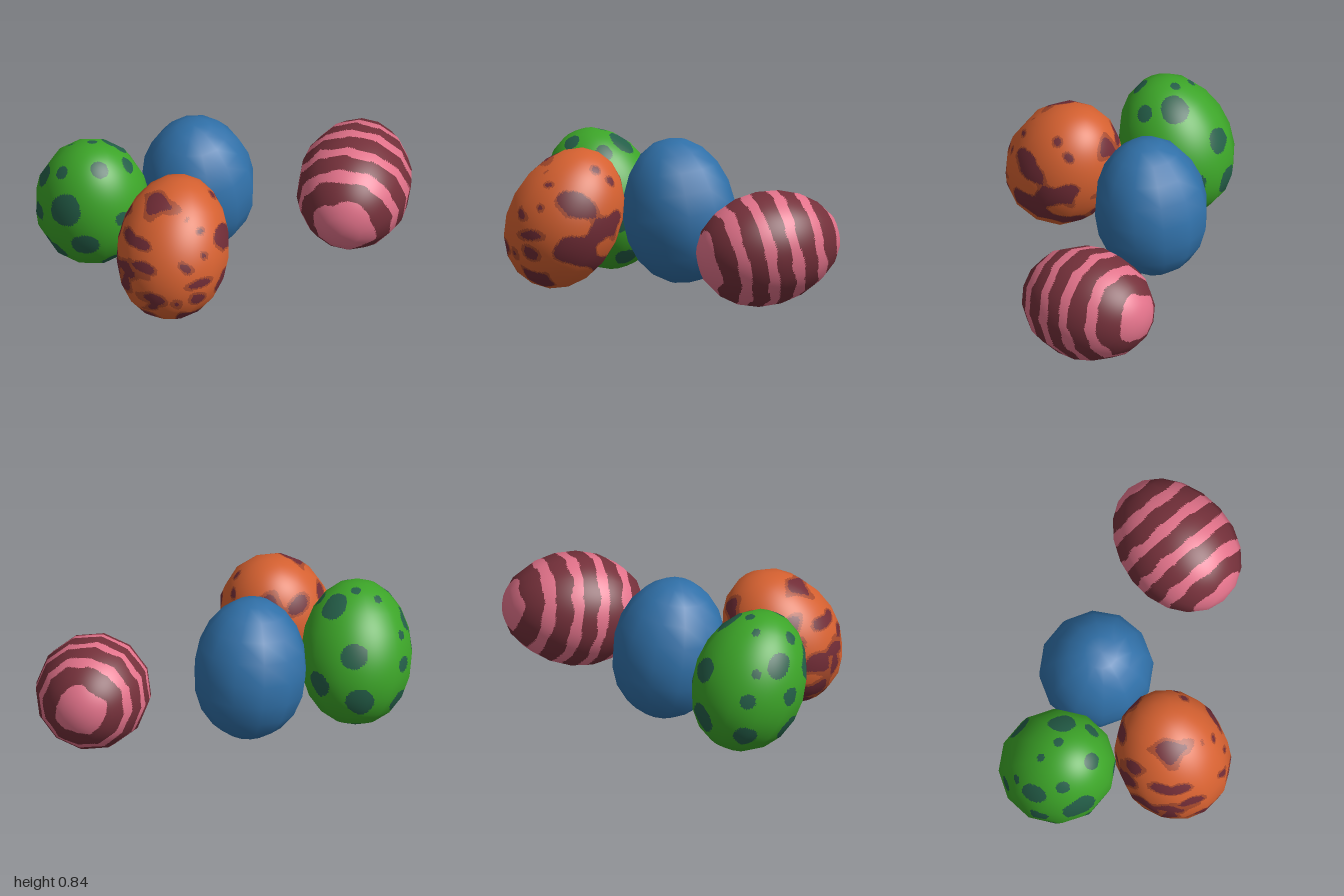
import * as THREE from 'three';

const SIDES = 12, RINGS = 10, RADIUS = 0.325, HALF = 0.417;
const paint = (name, color) => Object.assign(new THREE.MeshStandardMaterial({ color }), { name });
const V = (x, y, z) => new THREE.Vector3(x, y, z);

// Faceted egg with smooth normals; each facet is cut into cells x cells pieces,
// and rule(point, heightAlongAxis) picks the material of every piece.
function makeEgg(name, center, axis, materials, cells = 1, rule = () => 0) {
  const turn = new THREE.Quaternion().setFromUnitVectors(V(0, 1, 0), axis.normalize());
  const corner = (i, j) => {
    const th = (i / SIDES) * Math.PI * 2, ph = (j / RINGS) * Math.PI;
    const t = Math.cos(ph), r = RADIUS * Math.sin(ph) * (1 - 0.05 * t);
    return V(r * Math.cos(th), HALF * t, -r * Math.sin(th)).applyQuaternion(turn);
  };
  const back = turn.clone().invert();
  const normalAt = (p) => {
    const q = p.clone().applyQuaternion(back);
    q.set(q.x / RADIUS ** 2, q.y / HALF ** 2 + 0.3 * (1 - (q.y / HALF) ** 2), q.z / RADIUS ** 2);
    return q.normalize().applyQuaternion(turn);
  };
  const lists = materials.map(() => []);
  const addTriangle = (a, b, c) => {
    const mid = a.clone().add(b).add(c).divideScalar(3);
    lists[rule(mid, mid.dot(axis) / HALF)].push(a, b, c);
  };
  for (let j = 0; j < RINGS; j++) for (let i = 0; i < SIDES; i++) {
    const a = corner(i, j), b = corner(i + 1, j), c = corner(i + 1, j + 1), d = corner(i, j + 1);
    const at = (u, v) => a.clone().lerp(b, u / cells).lerp(d.clone().lerp(c, u / cells), v / cells);
    for (let v = 0; v < cells; v++) for (let u = 0; u < cells; u++) {
      const p = at(u, v), q = at(u + 1, v), r = at(u + 1, v + 1), s = at(u, v + 1);
      if (j < RINGS - 1 || v < cells - 1) addTriangle(p, s, r);
      if (j > 0 || v > 0) addTriangle(p, r, q);
    }
  }
  const geometry = new THREE.BufferGeometry();
  const points = lists.flat(), normals = points.map(normalAt);
  geometry.setAttribute('position', new THREE.Float32BufferAttribute(points.flatMap((p) => p.toArray()), 3));
  geometry.setAttribute('normal', new THREE.Float32BufferAttribute(normals.flatMap((p) => p.toArray()), 3));
  let start = 0;
  lists.forEach((list, k) => {
    geometry.addGroup(start, list.length, k);
    start += list.length;
  });
  const mesh = new THREE.Mesh(geometry, materials);
  mesh.name = name;
  mesh.position.copy(center);
  return mesh;
}

// Spots: direction from the egg's centre, then radius
const spots = [
  [-0.17, 0.195, 0.23, 0.075], [0.09, 0.105, 0.3, 0.1], [-0.14, -0.005, 0.29, 0.058],
  [0.19, -0.125, 0.24, 0.09], [-0.06, -0.25, 0.25, 0.09], [0, 0.285, 0.23, 0.038],
  [0.17, 0.32, 0.11, 0.045], [-0.28, -0.215, 0.05, 0.065], [-0.27, 0.175, 0.12, 0.03],
  [0.2, -0.33, 0.04, 0.05], [-0.03, -0.385, 0.09, 0.04], [-0.205, 0.126, -0.21, 0.085],
  [0.03, 0.3, -0.13, 0.075], [0.19, 0.27, -0.08, 0.05], [0, 0.41, 0, 0.026],
  [-0.11, 0.37, 0.07, 0.022], [-0.03, -0.066, -0.33, 0.075], [-0.236, -0.14, -0.2, 0.08],
  [-0.3, 0.01, 0.08, 0.05], [0.25, -0.1, -0.2, 0.07], [0.1, -0.3, -0.17, 0.06],
  [-0.1, -0.33, -0.12, 0.05], [0.32, 0.05, 0.06, 0.05],
].map(([x, y, z, r]) => ({ dir: V(x, y, z), angle: r / 0.35 }));

const spotRule = (p) => {
  const wobble = 1 + 0.06 * Math.sin(31 * p.x + 17 * p.y) + 0.06 * Math.sin(27 * p.z - 23 * p.y);
  return spots.some((s) => p.angleTo(s.dir) < s.angle * wobble) ? 1 : 0;
};

// Blotches: position from the egg's centre, then horizontal and vertical radius
const blotches = [
  [-0.02, 0.33, 0.13, 0.09, 0.045], [-0.05, 0.15, 0.27, 0.1, 0.028], [-0.165, -0.07, 0.26, 0.11, 0.055],
  [-0.04, -0.03, 0.32, 0.1, 0.035], [0.08, 0.04, 0.31, 0.08, 0.025], [0.13, -0.14, 0.27, 0.065, 0.04],
  [-0.28, 0.05, 0.12, 0.07, 0.07], [0.275, -0.17, 0.1, 0.05, 0.04], [-0.14, -0.25, 0.2, 0.1, 0.06],
  [0.04, -0.3, 0.22, 0.08, 0.035], [-0.23, 0.19, 0.14, 0.05, 0.045], [-0.2, 0.2, -0.22, 0.06, 0.06],
  [-0.25, 0.2, -0.08, 0.06, 0.05], [0.08, 0.29, -0.21, 0.025, 0.025], [0.31, 0.1, 0.05, 0.025, 0.03],
  [0.32, -0.06, 0.1, 0.06, 0.025], [0.24, 0.22, 0.02, 0.03, 0.02], [-0.05, -0.1, 0.32, 0.04, 0.07],
];

const blotchRule = (p) => {
  const warp = 0.2 * Math.sin(41 * p.x + 19 * p.y) + 0.2 * Math.sin(37 * p.y - 29 * p.z + 1);
  let d = 9;
  for (const [x, y, z, w, h] of blotches)
    d = Math.min(d, Math.hypot((p.x - x) / w, (p.z - z) / w, (p.y - y) / h));
  d += warp;
  // Denser network on the underside towards the back
  const n = Math.sin(19 * p.x + 3 * Math.sin(13 * p.y)) + Math.sin(21 * p.z + 2 * Math.sin(17 * p.x))
    + Math.sin(20 * p.y + 2 * Math.sin(15 * p.z));
  const net = n + 4 * (0.35 * p.x - 1.1 * p.y - 0.9 * p.z) - 1.5;
  if (d < 1 || net > 0.3) return 2;
  return d < 1.4 || net > -0.1 ? 1 : 0;
};

// Five dark bands across the long axis, with slightly ragged edges
const stripeRule = (p, t) => {
  const s = t + 0.83 + 0.012 * Math.sin(38 * p.x + 9 * p.y) + 0.012 * Math.sin(33 * p.y - 20 * p.z);
  return s > 0 && s < 1.7 && s % 0.37 < 0.22 ? 1 : 0;
};

export function createModel() {
  const group = new THREE.Group();
  group.name = 'eggs';
  const green = paint('green', 0x3ca428), darkGreen = paint('darkGreen', 0x245e48);
  const blue = paint('blue', 0x3070a8);
  const orange = paint('orange', 0xd46030), rust = paint('rust', 0xa84a2c), maroon = paint('maroon', 0x702c36);
  const pink = paint('pink', 0xe2728a), wine = paint('wine', 0x74303a);

  group.add(
    makeEgg('spottedEgg', V(-0.418, 0.425, 0.667), V(0.24, 0.93, 0.25), [green, darkGreen], 12, spotRule),
    makeEgg('plainEgg', V(-0.14, 0.425, 0.105), V(0.05, 1, 0.13), [blue]),
    makeEgg('blotchedEgg', V(0.23, 0.41, 0.655), V(-0.2, 0.88, -0.4), [orange, rust, maroon], 12, blotchRule),
    makeEgg('stripedEgg', V(0.39, 0.33, -0.62), V(-0.56, 0.2, -0.8), [pink, wine], 12, stripeRule),
  );
  return group;
}
